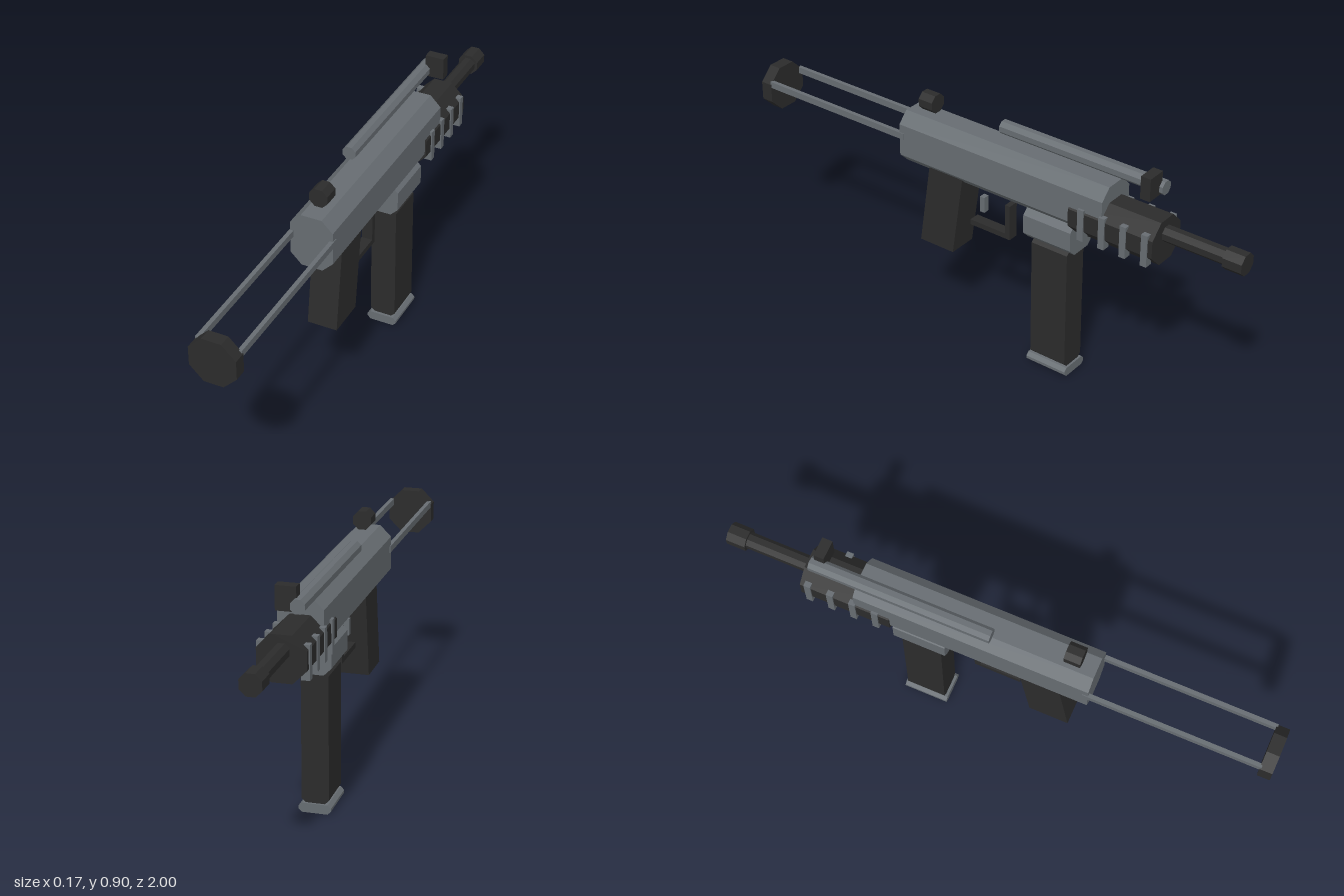
import * as THREE from 'three';

const steel = new THREE.MeshStandardMaterial({ color: 0x666c71 });
steel.name = 'steel grey';
const black = new THREE.MeshStandardMaterial({ color: 0x2b2b2b });
black.name = 'matte black';

export function createModel() {
  const model = new THREE.Group();
  model.name = 'blaster';

  const add = (name, geometry, material) => {
    const mesh = new THREE.Mesh(geometry, material);
    mesh.name = name;
    model.add(mesh);
    return mesh;
  };

  // Box given by its limits on each axis
  const box = (name, material, [x0, x1], [y0, y1], [z0, z1]) => {
    const g = new THREE.BoxGeometry(x1 - x0, y1 - y0, z1 - z0);
    g.translate((x0 + x1) / 2, (y0 + y1) / 2, (z0 + z1) / 2);
    return add(name, g, material);
  };

  // Bar along z whose rectangular section has cut corners
  const bar = (name, material, [x0, x1], [y0, y1], [z0, z1], cut) => {
    const shape = new THREE.Shape([
      [x0 + cut, y0], [x1 - cut, y0], [x1, y0 + cut], [x1, y1 - cut],
      [x1 - cut, y1], [x0 + cut, y1], [x0, y1 - cut], [x0, y0 + cut],
    ].map(([x, y]) => new THREE.Vector2(x, y)));
    const g = new THREE.ExtrudeGeometry(shape, { depth: z1 - z0, bevelEnabled: false });
    g.translate(0, 0, z0);
    return add(name, g, material);
  };

  // Regular octagonal rod along z, r measured to the flats
  const rod = (name, material, x, y, r, zRange) =>
    bar(name, material, [x - r, x + r], [y - r, y + r], zRange, r * 0.586);

  // Body and barrel
  bar('receiver', steel, [-0.078, 0.078], [0.62, 0.82], [-0.5, 0.35], 0.04);
  bar('handguard', black, [-0.083, 0.083], [0.6, 0.76], [-0.7, -0.37], 0.048);
  rod('barrel', black, 0, 0.705, 0.027, [-0.94, -0.69]);
  rod('muzzle', black, 0, 0.705, 0.037, [-1, -0.93]);

  // Cooling fins on both sides, and the two stock rods
  for (const side of [-1, 1]) {
    const span = (a, b) => (side > 0 ? [a, b] : [-b, -a]);
    for (let i = 0; i < 4; i++) {
      const z = -0.422 - i * 0.083;
      box('coolingFin', steel, span(0.058, 0.087), [0.61, 0.728], [z - 0.012, z + 0.012]);
    }
    box('stockRod', steel, span(0.066, 0.081), [0.725, 0.749], [0.33, 0.96]);
  }
  rod('buttPlate', black, 0, 0.703, 0.083, [0.955, 1]);

  // Sights and the tube on top
  rod('topTube', steel, -0.042, 0.842, 0.024, [-0.665, -0.01]);
  box('frontSight', black, [-0.035, 0.035], [0.82, 0.903], [-0.652, -0.615]);
  rod('rearSight', black, 0, 0.864, 0.033, [0.24, 0.298]);

  // Magazine
  bar('magazineWell', steel, [-0.065, 0.065], [0.508, 0.632], [-0.37, -0.176], 0.027);
  bar('magazine', black, [-0.048, 0.048], [0.03, 0.515], [-0.347, -0.2], 0.018);
  bar('magazineBase', steel, [-0.057, 0.057], [0, 0.034], [-0.355, -0.19], 0.012);

  // Slanted grip: a box sheared backwards towards its foot
  const grip = box('grip', black, [-0.055, 0.055], [0.325, 0.64], [0.093, 0.238]);
  const p = grip.geometry.attributes.position;
  for (let i = 0; i < p.count; i++) {
    p.setZ(i, p.getZ(i) + (0.64 - p.getY(i)) * 0.146);
  }
  grip.geometry.computeVertexNormals();

  // Trigger and guard
  box('triggerGuardBottom', black, [-0.02, 0.02], [0.445, 0.465], [-0.085, 0.086]);
  box('triggerGuardFront', black, [-0.02, 0.02], [0.465, 0.58], [-0.085, -0.065]);
  box('trigger', steel, [-0.012, 0.012], [0.508, 0.568], [0.031, 0.05]);

  return model;
}
